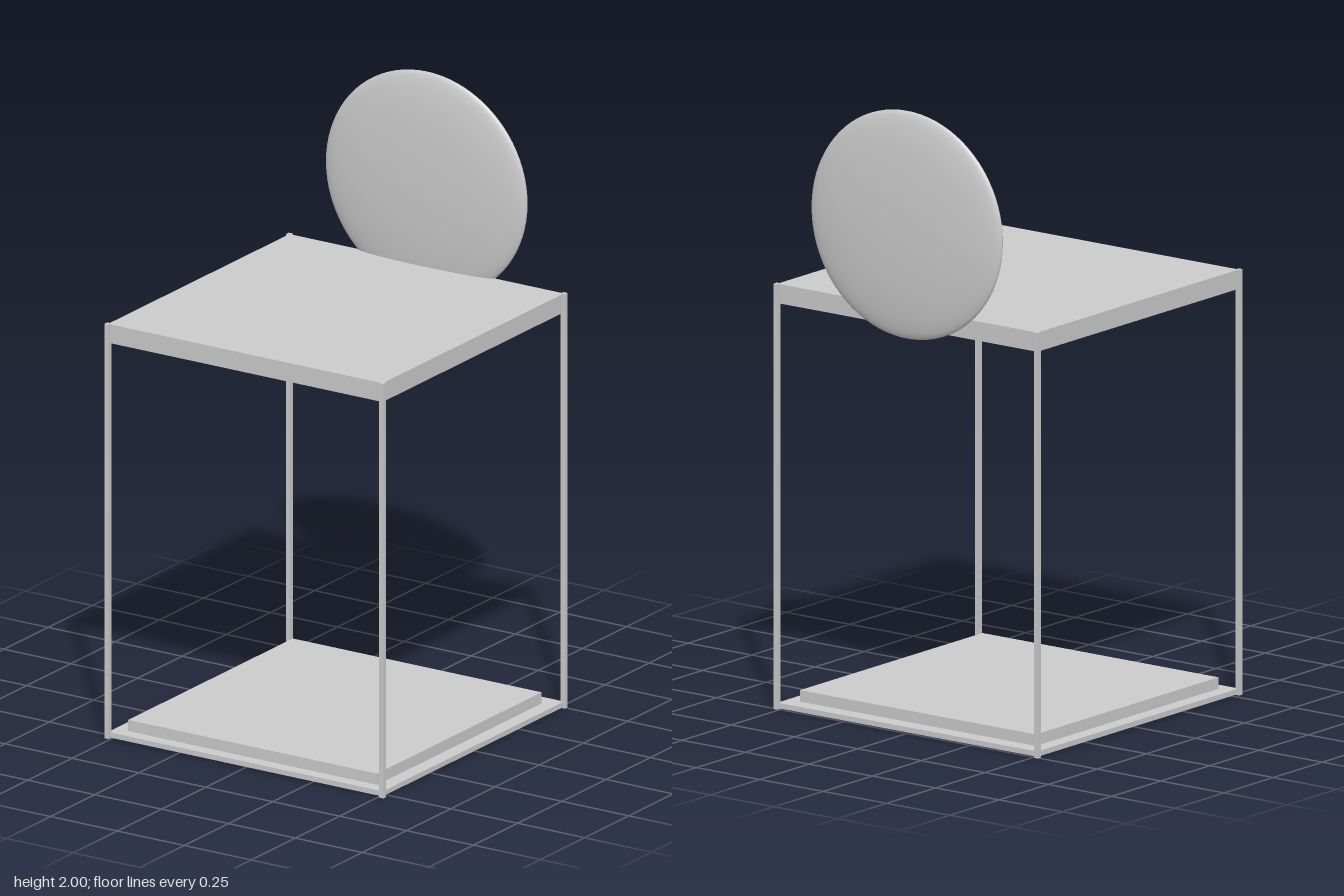
import * as THREE from 'three';

export function createModel() {
  const model = new THREE.Group();
  const grey = new THREE.MeshStandardMaterial({ color: 0xcccccc });
  const centreZ = 0.014; // the table sits slightly forward of the disc
  const half = 0.513;

  function box(name, width, depth, bottom, top, x = 0, z = 0) {
    const mesh = new THREE.Mesh(new THREE.BoxGeometry(width, top - bottom, depth), grey);
    mesh.name = name;
    mesh.position.set(x, (bottom + top) / 2, centreZ + z);
    model.add(mesh);
  }

  // Top slab, base plate and the raised panel on the base
  box('topSlab', half * 2, half * 2, 1.304, 1.366);
  box('basePlate', half * 2, half * 2, 0.003, 0.02);
  box('basePanel', 0.93, 0.93, 0.02, 0.057, 0, 0.006);

  // Thin square posts on the four corners
  for (const [side, x] of [['Left', half], ['Right', -half]]) {
    for (const [end, z] of [['front', half], ['back', -half]]) {
      box(`${end}${side}Post`, 0.016, 0.016, 0, 1.367, x, z);
    }
  }

  // Flattened lens-shaped disc standing at the back edge
  const disc = new THREE.Mesh(new THREE.SphereGeometry(1, 64, 40), grey);
  disc.name = 'backDisc';
  disc.scale.set(0.376, 0.366, 0.041);
  disc.position.set(0, 1.634, -0.499);
  model.add(disc);

  return model;
}
